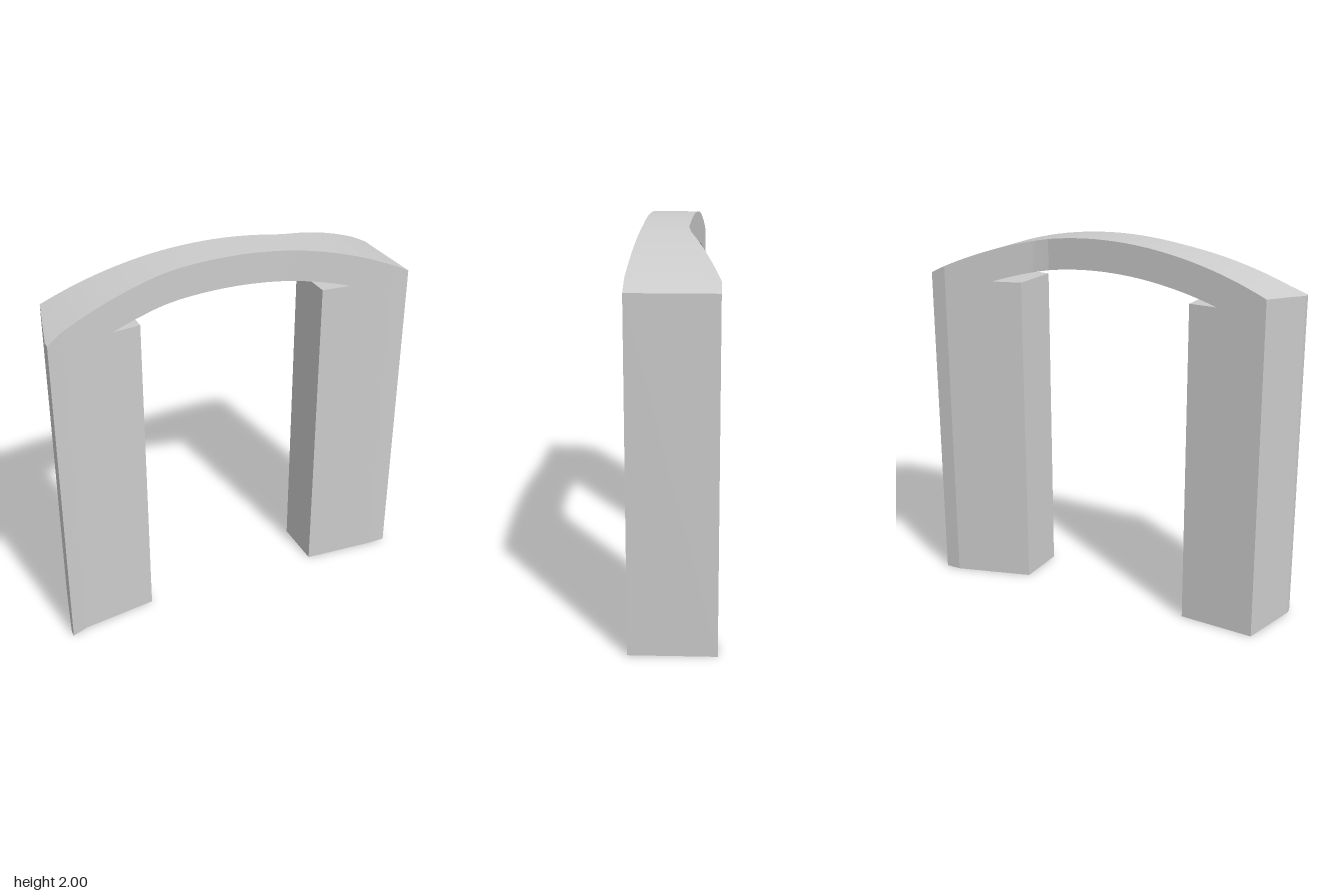
import * as THREE from 'three';
import { toCreasedNormals, mergeGeometries } from 'three/addons/utils/BufferGeometryUtils.js';

// Plan outline as [x, z] points, for the front and back walls
const FRONT = [[-0.985, 0.228], [-0.9, 0.197], [-0.42, 0.137], [-0.36, 0.131], [-0.28, 0.13], [0.3, 0.157], [0.88, 0.205], [0.985, 0.206]];
const BACK = [[-0.985, 0.195], [-0.905, -0.135], [-0.32, -0.108], [0.28, -0.073], [0.34, -0.07], [0.42, -0.083], [0.9, -0.23], [0.985, -0.23]];

function lerpAt(points, x) {
  let i = 1;
  while (i < points.length - 1 && x > points[i][0]) i++;
  const [x0, z0] = points[i - 1], [x1, z1] = points[i];
  return z0 + (z1 - z0) * (x - x0) / (x1 - x0);
}

// Height of a circular arc with its crown at x = 0
const arc = (crown, half, drop) => {
  const r = (half * half + drop * drop) / (2 * drop);
  return x => crown - r + Math.sqrt(r * r - x * x);
};
const archTop = arc(2, 0.983, 0.235);
const archUnder = arc(1.837, 0.645, 0.104);
const LEDGE = 1.733, MEET = 0.645;

// Block between two x positions, following the plan outline, with optional end caps
function block(x0, x1, bottom, top, capStart, capEnd) {
  const xs = new Set([x0, x1]);
  const steps = Math.ceil((x1 - x0) / 0.04);
  for (let i = 1; i < steps; i++) xs.add(x0 + (x1 - x0) * i / steps);
  for (const [x] of [...FRONT, ...BACK]) if (x > x0 && x < x1) xs.add(x);
  // Each ring runs front-bottom, front-top, back-top, back-bottom
  const rings = [...xs].sort((a, b) => a - b).map(x => {
    const f = lerpAt(FRONT, x), b = lerpAt(BACK, x), lo = bottom(x), hi = top(x);
    return [[x, lo, f], [x, hi, f], [x, hi, b], [x, lo, b]];
  });
  const pos = [];
  const quad = (a, b, c, d) => pos.push(...a, ...b, ...c, ...a, ...c, ...d);
  for (let i = 1; i < rings.length; i++) {
    const p = rings[i - 1], q = rings[i];
    for (let k = 0; k < 4; k++) {
      const n = (k + 1) % 4;
      quad(p[k], q[k], q[n], p[n]);
    }
  }
  const s = rings[0], e = rings[rings.length - 1];
  if (capStart) quad(s[0], s[1], s[2], s[3]);
  if (capEnd) quad(e[3], e[2], e[1], e[0]);
  const geo = new THREE.BufferGeometry();
  geo.setAttribute('position', new THREE.Float32BufferAttribute(pos, 3));
  return geo;
}

export function createModel() {
  const group = new THREE.Group();
  const material = new THREE.MeshStandardMaterial({ color: 0xcccccc });
  const add = (name, geometries) => {
    const mesh = new THREE.Mesh(toCreasedNormals(mergeGeometries(geometries), 0.2), material);
    mesh.name = name;
    group.add(mesh);
  };
  const ground = () => 0, ledge = () => LEDGE;

  // Curved span over the opening
  add('archSpan', [block(-MEET, MEET, archUnder, archTop, false, false)]);

  // Pillars: an outer part rising into the arch and an inner ledge below it
  add('rightPillar', [
    block(-0.985, -MEET, ground, archTop, true, false),
    block(-MEET, -0.497, ground, ledge, false, true),
  ]);
  add('leftPillar', [
    block(MEET, 0.985, ground, archTop, false, true),
    block(0.492, MEET, ground, ledge, true, false),
  ]);
  return group;
}
